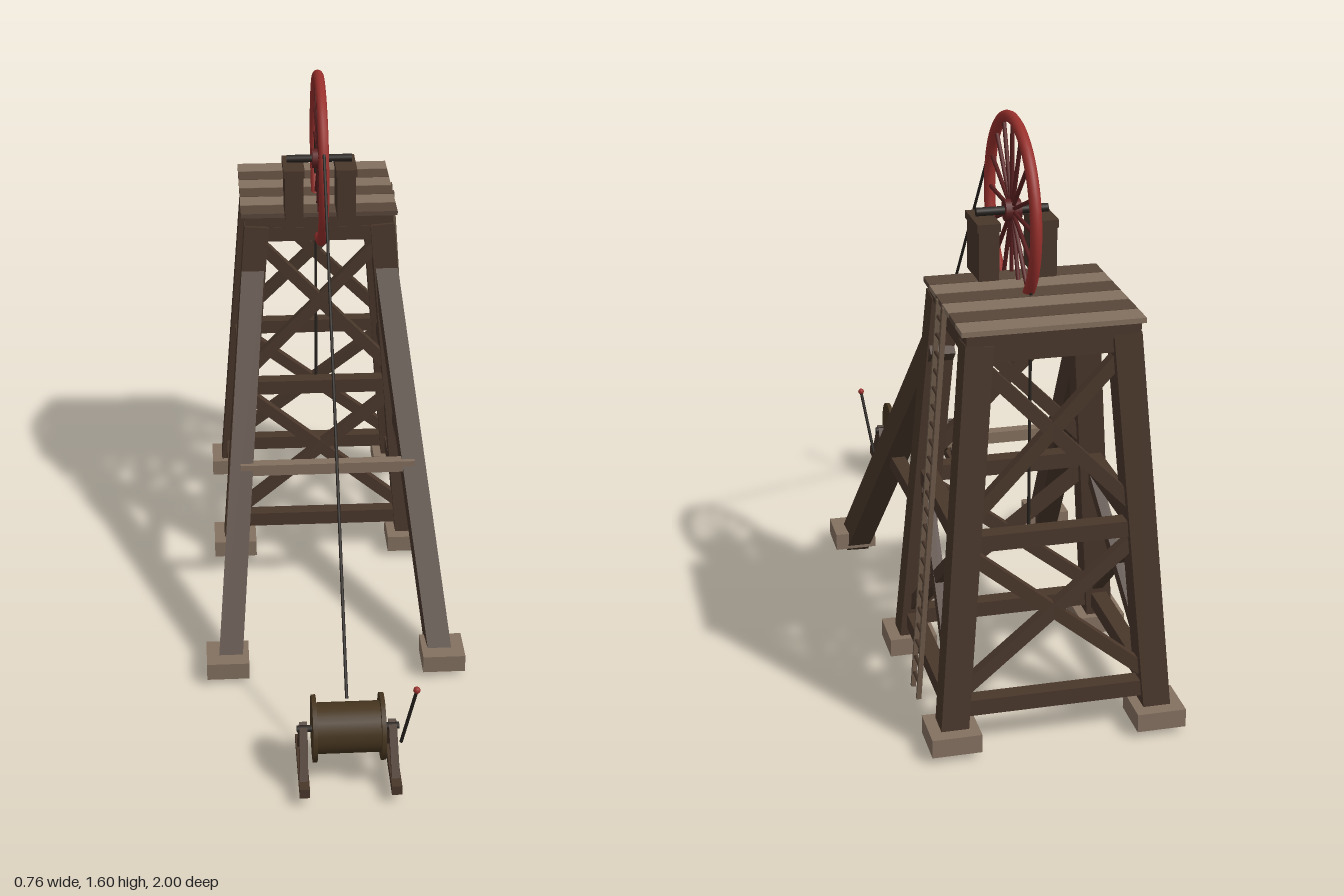
import * as THREE from 'three';

const mat = (name, color) => {
  const m = new THREE.MeshStandardMaterial({ color });
  m.name = name;
  return m;
};

export function createModel() {
  const timber = mat('dark timber', 0x49372b);
  const plankDark = mat('brown plank', 0x58463a);
  const plankLight = mat('weathered plank', 0x826f5e);
  const stone = mat('footing stone', 0x837060);
  const red = mat('wheel red', 0x98302c);
  const darkRed = mat('spoke red', 0x5c2020);
  const iron = mat('dark iron', 0x28231f);
  const drumWood = mat('drum wood', 0x46351f);
  const rail = mat('ladder wood', 0x6a5848);

  const root = new THREE.Group();
  root.name = 'mineHeadframe';
  const V = (x, y, z) => new THREE.Vector3(x, y, z);
  const X = V(1, 0, 0), Y = V(0, 1, 0), Z = V(0, 0, 1);

  const add = (name, geo, material, x = 0, y = 0, z = 0) => {
    const m = new THREE.Mesh(geo, material);
    m.name = name;
    m.position.set(x, y, z);
    root.add(m);
    return m;
  };
  const box = (name, w, h, d, x, y, z, material) =>
    add(name, new THREE.BoxGeometry(w, h, d), material, x, y, z);

  // Squared beam from a to b; s is its size along the hint axis, t across it
  const beam = (name, a, b, s, t, hint = X, material = timber) => {
    const d = b.clone().sub(a), len = d.length();
    d.normalize();
    const side = hint.clone().addScaledVector(d, -hint.dot(d)).normalize();
    const m = add(name, new THREE.BoxGeometry(s, len, t), material);
    m.quaternion.setFromRotationMatrix(
      new THREE.Matrix4().makeBasis(side, d, side.clone().cross(d)));
    m.position.copy(a).add(b).multiplyScalar(0.5);
  };
  // Round bar from a to b
  const rod = (name, a, b, r, material = iron, sides = 8) => {
    const d = b.clone().sub(a), len = d.length();
    const m = add(name, new THREE.CylinderGeometry(r, r, len, sides), material);
    m.quaternion.setFromUnitVectors(Y, d.normalize());
    m.position.copy(a).add(b).multiplyScalar(0.5);
  };

  // Point on the tapering tower's corner line at height y
  const zc = -0.65;
  const corner = (sx, sz, y) => {
    const k = y / 1.12;
    return V(sx * (0.285 - 0.09 * k), y, zc + sz * (0.277 - 0.082 * k));
  };

  // Tower legs with footings
  for (const sx of [-1, 1]) for (const sz of [-1, 1]) {
    beam('towerLeg', corner(sx, sz, 0.03), corner(sx, sz, 1.12), 0.075, 0.075);
    box('towerFooting', 0.135, 0.052, 0.135, sx * 0.282, 0.047, zc + sz * 0.28, stone);
  }

  // Horizontal girts and cross bracing on the four faces
  const faces = [
    { a: [-1, 1], b: [1, 1], n: Z, tall: true },
    { a: [-1, -1], b: [1, -1], n: Z, tall: true },
    { a: [1, -1], b: [1, 1], n: X, tall: false },
    { a: [-1, -1], b: [-1, 1], n: X, tall: false },
  ];
  for (const { a, b, n, tall } of faces) {
    for (const y of [0.122, 0.583, 1.093])
      beam('girt', corner(...a, y), corner(...b, y), 0.045, 0.045, n);
    const panels = tall ? [[0.15, 0.56], [0.63, 1.07]] : [[0.15, 0.56]];
    for (const [lo, hi] of panels) {
      beam('crossBrace', corner(...a, lo), corner(...b, hi), 0.03, 0.036, n);
      beam('crossBrace', corner(...b, lo), corner(...a, hi), 0.03, 0.036, n);
    }
  }

  // Deck frame and planks
  box('deckFrame', 0.46, 0.036, 0.45, 0, 1.131, -0.657, timber);
  for (let i = 0; i < 6; i++)
    box('deckPlank', 0.485, 0.014, 0.073, 0, 1.156, -0.848 + i * 0.0765,
      i % 2 ? plankDark : plankLight);

  // Raking back-stays with footings and struts to the tower
  for (const s of [-1, 1]) {
    beam('rakingLeg', V(s * 0.312, 0.032, 0.335), V(s * 0.205, 0.99, -0.47), 0.07, 0.085);
    box('rakingFooting', 0.125, 0.052, 0.125, s * 0.32, 0.047, 0.343, stone);
    beam('rakingStrut', V(s * 0.258, 0.477, -0.04), V(s * 0.248, 0.477, -0.42), 0.04, 0.042);
  }
  box('crossPlank', 0.53, 0.035, 0.035, 0, 0.497, -0.018, plankLight);

  // Bearing posts, caps and axle
  const wy = 1.337, wz = -0.44;
  for (const s of [-1, 1]) {
    box('bearingPost', 0.056, 0.15, 0.14, s * 0.08, 1.235, wz, timber);
    box('bearingCap', 0.064, 0.022, 0.145, s * 0.08, 1.311, wz, timber);
  }
  rod('wheelAxle', V(-0.1, wy, wz), V(0.1, wy, wz), 0.012, iron, 12);

  // Winding wheel
  const rim = add('wheelRim', new THREE.TorusGeometry(0.252, 0.016, 10, 56), red, 0, wy, wz);
  rim.rotation.y = Math.PI / 2;
  rod('wheelHub', V(-0.022, wy, wz), V(0.022, wy, wz), 0.03, darkRed, 16);
  for (let i = 0; i < 16; i++) {
    const t = i * Math.PI / 8, c = Math.cos(t), s = Math.sin(t);
    rod('wheelSpoke', V(0, wy + c * 0.02, wz + s * 0.02),
      V(0, wy + c * 0.245, wz + s * 0.245), 0.006, darkRed, 6);
  }

  // Hauling rope and hanging rope
  rod('haulingRope', V(0, 1.437, -0.188), V(0, 0.225, 0.82), 0.0045);
  rod('hangingRope', V(0, 1.33, -0.645), V(0, 0.45, -0.645), 0.0045);
  add('ropeWeight', new THREE.SphereGeometry(0.01, 10, 8), iron, 0, 0.45, -0.645);

  // Ladder leaning on the tower's left side
  const ladder = (y, z) => V(0.322 - 0.08 * y / 1.15, y, z);
  for (const z of [-0.612, -0.684])
    beam('ladderRail', ladder(0.02, z), ladder(1.16, z), 0.013, 0.011, X, rail);
  for (let i = 0; i < 22; i++) {
    const y = 0.065 + i * 0.05;
    rod('ladderRung', ladder(y, -0.612), ladder(y, -0.684), 0.005, timber, 6);
  }

  // Winch drum and flanges
  const dy = 0.167, dz = 0.872;
  rod('winchDrum', V(-0.092, dy, dz), V(0.092, dy, dz), 0.07, drumWood, 24);
  rod('winchAxle', V(-0.14, dy, dz), V(0.14, dy, dz), 0.01, iron, 10);
  for (const s of [-1, 1]) {
    rod('winchFlange', V(s * 0.087, dy, dz), V(s * 0.099, dy, dz), 0.092, drumWood, 24);
    // Winch skid and A-frame
    box('winchSkid', 0.028, 0.028, 0.255, s * 0.125, 0.044, dz, timber);
    for (const f of [-1, 1])
      beam('winchStrut', V(s * 0.125, 0.05, dz + f * 0.085), V(s * 0.122, 0.175, dz + f * 0.005), 0.022, 0.02);
  }
  // Brake lever
  rod('brakeLever', V(0.152, 0.075, 0.82), V(0.183, 0.3, 0.905), 0.005);
  add('leverKnob', new THREE.SphereGeometry(0.01, 12, 8), red, 0.183, 0.303, 0.906);

  return root;
}
